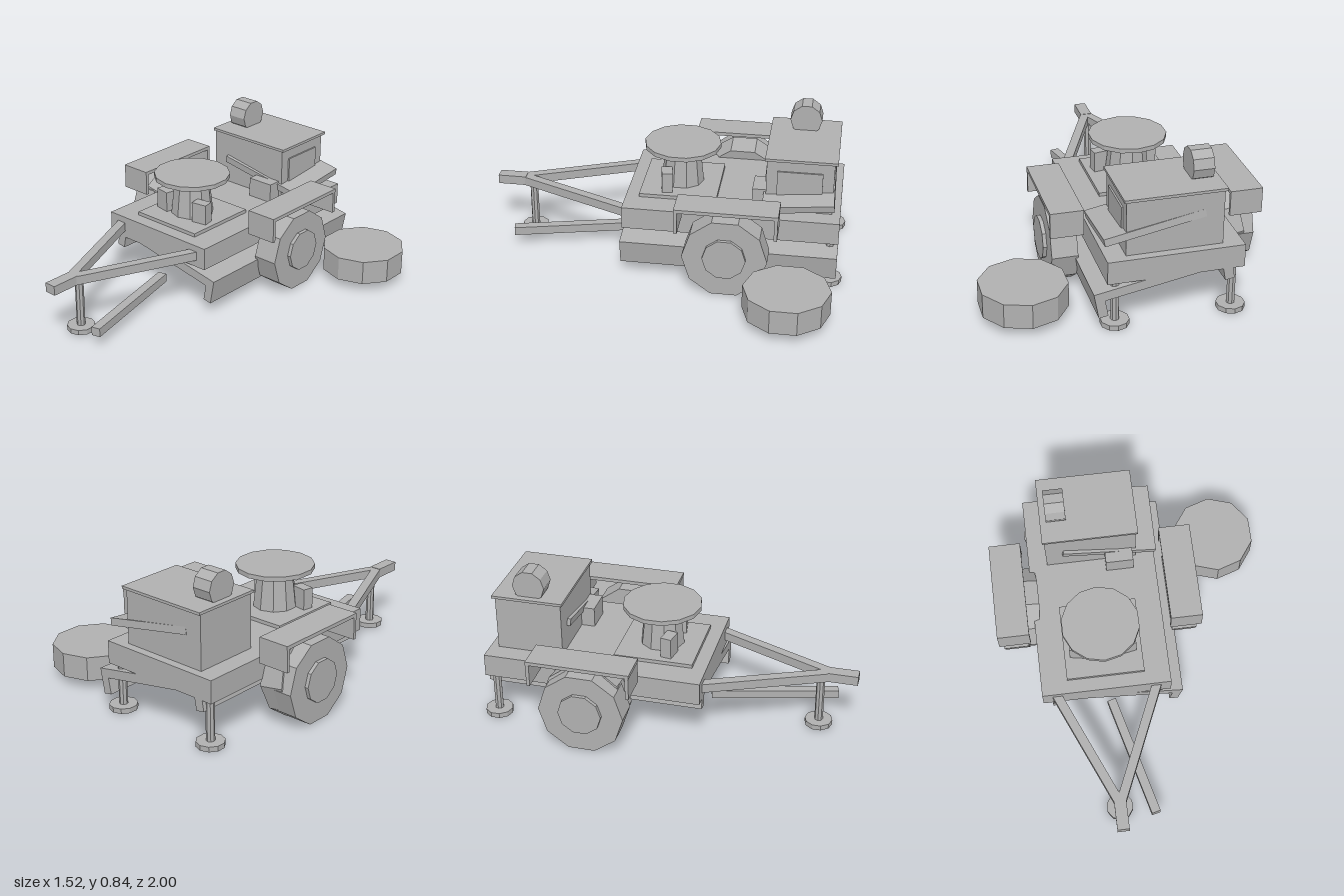
import * as THREE from 'three';

export function createModel() {
  const model = new THREE.Group();
  const grey = new THREE.MeshStandardMaterial({ color: 0xb0b0b0 });
  grey.name = 'plain grey';
  grey.flatShading = true;

  const add = (name, geometry, x, y, z, parent = model) => {
    const mesh = new THREE.Mesh(geometry, grey);
    mesh.name = name;
    mesh.position.set(x, y, z);
    parent.add(mesh);
    return mesh;
  };
  // Box given by its minimum and maximum on each axis
  const box = (name, x0, x1, y0, y1, z0, z1, parent) =>
    add(name, new THREE.BoxGeometry(x1 - x0, y1 - y0, z1 - z0),
      (x0 + x1) / 2, (y0 + y1) / 2, (z0 + z1) / 2, parent);
  // Upright cylinder or cone between two heights
  const post = (name, x, z, y0, y1, rTop, rBottom, sides, parent) =>
    add(name, new THREE.CylinderGeometry(rTop, rBottom, y1 - y0, sides), x, (y0 + y1) / 2, z, parent);
  // Cylinder lying along x
  const drum = (name, x, y, z, r, width, parent) => {
    const mesh = add(name, new THREE.CylinderGeometry(r, r, width, 10), x, y, z, parent);
    mesh.rotation.z = Math.PI / 2;
    return mesh;
  };
  // Horizontal bar between two points of the ground plan
  const bar = (name, x0, z0, x1, z1, y, width, height) => {
    const length = Math.hypot(x1 - x0, z1 - z0);
    const mesh = add(name, new THREE.BoxGeometry(width, height, length), (x0 + x1) / 2, y, (z0 + z1) / 2);
    mesh.rotation.y = Math.atan2(x1 - x0, z1 - z0);
    return mesh;
  };

  // Deck and the slipped, tilted chassis channel under it
  box('deck', -0.55, 0.165, 0.26, 0.385, -0.965, 0.22);
  const chassis = new THREE.Group();
  chassis.name = 'chassis';
  chassis.position.set(-0.125, 0.25, -0.372);
  chassis.rotation.z = -0.18;
  model.add(chassis);
  box('chassisPlate', -0.36, 0.36, -0.025, 0.025, -0.592, 0.592, chassis);
  for (const s of [-1, 1])
    add('chassisRail', new THREE.BoxGeometry(0.05, 0.09, 1.184), s * 0.335, -0.07, 0, chassis);

  // Drawbar with its coupling, and a loose bar on the ground
  bar('drawbar', -0.475, 0.2, -0.195, 0.86, 0.325, 0.05, 0.05);
  bar('drawbar', 0.09, 0.2, -0.195, 0.86, 0.325, 0.05, 0.05);
  box('coupling', -0.228, -0.162, 0.3, 0.352, 0.84, 1.0);
  bar('looseBar', -0.17, 0.2, 0.0, 0.875, 0.095, 0.05, 0.048);

  // Support jacks
  for (const [x, z, foot, top] of [[-0.195, 0.8, 0.01, 0.31], [-0.5, -0.92, 0.004, 0.27], [0.115, -0.92, 0.004, 0.27]]) {
    post('jackPost', x, z, foot + 0.02, top, 0.023, 0.023, 8);
    post('jackFoot', x, z, foot, foot + 0.028, 0.075, 0.075, 10);
  }

  // Wheels, hubs and open-sided fenders
  for (const s of [-1, 1]) {
    const cx = -0.19;
    drum('wheel', cx + s * 0.48, 0.228, -0.37, 0.23, 0.14);
    drum('hub', cx + s * 0.555, 0.235, -0.37, 0.117, 0.03);
    const x0 = cx + s * 0.48 - 0.088, x1 = cx + s * 0.48 + 0.088;
    box('fenderTop', x0, x1, 0.497, 0.517, -0.65, -0.098);
    for (const [z0, z1] of [[-0.648, -0.63], [-0.118, -0.1]])
      box('fenderEnd', x0, x1, 0.375, 0.5, z0, z1);
  }
  const crooked = drum('crookedWheel', -0.617, 0.235, -0.375, 0.228, 0.14);
  crooked.rotation.z = Math.PI / 2 - 0.17;

  // Spare wheel lying beside the deck
  post('spareWheel', 0.54, -0.72, 0.06, 0.195, 0.232, 0.232, 10);

  // Turntable
  box('turntableBase', -0.405, 0.025, 0.385, 0.405, -0.285, 0.145);
  post('pedestal', -0.19, -0.07, 0.405, 0.615, 0.097, 0.12, 10);
  post('turntable', -0.19, -0.07, 0.615, 0.64, 0.213, 0.213, 14);
  for (const s of [-1, 1]) {
    const bracket = box('bracket', -0.19 + s * 0.135 - 0.045, -0.19 + s * 0.135 + 0.045, 0.405, 0.52, -0.03, 0.03);
    bracket.rotation.y = s * 0.18;
  }

  // Engine housing with lid, side door, exhaust drum and dropped panel
  box('housing', -0.445, 0.06, 0.385, 0.685, -0.92, -0.557);
  box('housingLid', -0.455, 0.075, 0.685, 0.7, -0.937, -0.547);
  box('housingDoor', 0.06, 0.069, 0.44, 0.625, -0.86, -0.615);
  drum('exhaustDrum', -0.365, 0.76, -0.74, 0.088, 0.11);
  box('controlBox', -0.115, 0.04, 0.385, 0.495, -0.557, -0.482);
  const panel = add('droppedPanel', new THREE.BoxGeometry(0.53, 0.04, 0.385), -0.088, 0.505, -0.735);
  panel.rotation.set(0.1, 0, -0.18);

  return model;
}
